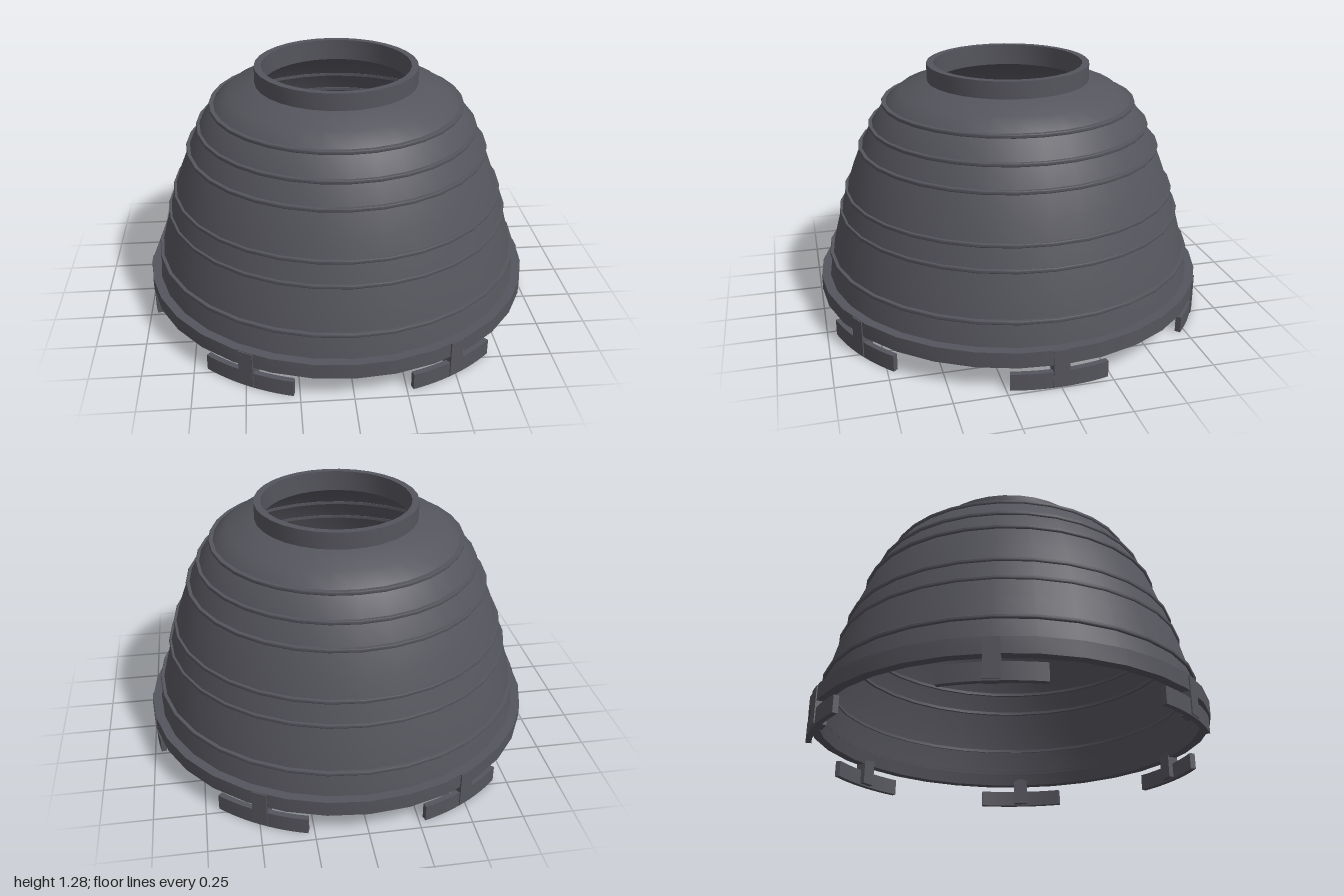
import * as THREE from 'three';
import { toCreasedNormals } from 'three/addons/utils/BufferGeometryUtils.js';

const SIDES = 32;
const material = new THREE.MeshStandardMaterial({ color: 0x55555d });

function addMesh(parent, name, geometry) {
  const mesh = new THREE.Mesh(toCreasedNormals(geometry, 0.6), material);
  mesh.name = name;
  parent.add(mesh);
  return mesh;
}

// Closed [radius, y] loop, outer side upward and inner side downward
function turned(loop) {
  const points = [...loop, loop[0]].map(([r, y]) => new THREE.Vector2(r, y));
  return new THREE.LatheGeometry(points, SIDES);
}

// Curved bar centred on +x
function arcBar(inner, outer, halfAngle, y0, y1) {
  const shape = new THREE.Shape();
  shape.absarc(0, 0, outer, -halfAngle, halfAngle, false);
  shape.absarc(0, 0, inner, halfAngle, -halfAngle, true);
  const geometry = new THREE.ExtrudeGeometry(shape, { depth: y1 - y0, bevelEnabled: false, curveSegments: 6 });
  return geometry.rotateX(-Math.PI / 2).translate(0, y0, 0);
}

export function createModel() {
  const group = new THREE.Group();

  // Domed shell, open at both ends
  const dome = [
    [0.955, 0.18], [0.93, 0.315], [0.902, 0.425], [0.872, 0.535], [0.838, 0.645], [0.8, 0.755],
    [0.755, 0.865], [0.7, 0.975], [0.63, 1.085], [0.55, 1.15], [0.405, 1.193],
  ];
  const inside = dome.map(([r, y], i) => [r - 0.022, i > 7 ? y - 0.022 : y]).reverse();
  addMesh(group, 'domeShell', turned([...dome, ...inside]));

  // Thin ribs around the shell, showing inside as well
  const ribs = [[0.947, 0.315], [0.883, 0.535], [0.85, 0.645], [0.77, 0.865], [0.713, 0.975], [0.643, 1.085]];
  ribs.forEach(([r, y], i) => {
    addMesh(group, 'rib' + (i + 1), turned([
      [r - 0.045, y - 0.008], [r - 0.003, y - 0.009], [r, y - 0.004], [r, y + 0.004], [r - 0.003, y + 0.009], [r - 0.045, y + 0.008],
    ]));
  });

  // Top collar
  addMesh(group, 'topCollar', turned([[0.375, 1.17], [0.41, 1.17], [0.41, 1.277], [0.375, 1.277]]));

  // Base ring
  addMesh(group, 'baseRing', turned([[0.95, 0.118], [0.998, 0.118], [0.998, 0.195], [0.93, 0.195]]));

  // Six clips: an upright post with a curved foot
  for (let i = 0; i < 6; i++) {
    const clip = new THREE.Group();
    clip.name = 'clip' + (i + 1);
    clip.rotation.y = (i * Math.PI) / 3;
    addMesh(clip, 'clipPost', new THREE.BoxGeometry(0.06, 0.185, 0.075).translate(0.97, 0.1, 0));
    addMesh(clip, 'clipFoot', arcBar(0.967, 0.995, 0.237, 0, 0.083));
    group.add(clip);
  }
  return group;
}
